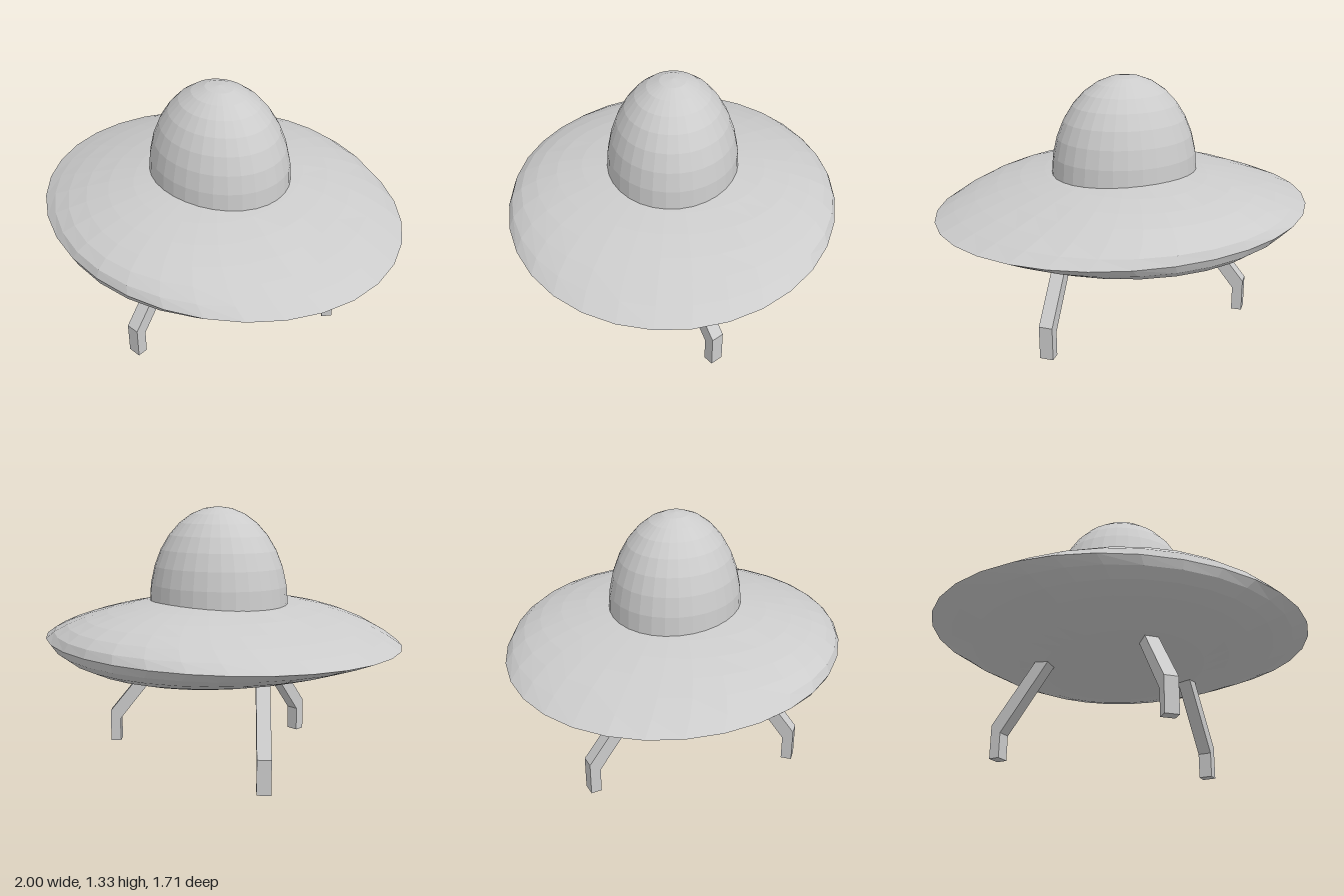
import * as THREE from 'three';

const grey = new THREE.MeshStandardMaterial({ color: 0xcccccc, flatShading: true });
const greyOpen = new THREE.MeshStandardMaterial({ color: 0xcccccc, flatShading: true, side: THREE.DoubleSide });

function addMesh(parent, name, geometry, material = grey) {
  const mesh = new THREE.Mesh(geometry, material);
  mesh.name = name;
  parent.add(mesh);
  return mesh;
}

// Saucer: rounded when cut along z, pointed like a lens when cut along x
function saucerGeometry() {
  const geo = new THREE.SphereGeometry(1, 32, 16);
  const p = geo.attributes.position;
  for (let i = 0; i < p.count; i++) {
    const x = p.getX(i), y = p.getY(i), z = p.getZ(i);
    const ring = Math.hypot(x, z);
    const lens = ring > 1e-6 ? Math.sqrt(Math.max(0, 1 - Math.abs(y))) / ring : 0;
    p.setXYZ(i, x * lens, y * 0.215, z * 0.857);
  }
  geo.computeVertexNormals();
  return geo;
}

// Leg: bent bar, drawn outward along +x from the middle of its foot
function legGeometry() {
  const width = 0.07;
  const shape = new THREE.Shape([
    [-0.028, 0], [0.028, 0], [0.028, 0.175], [-0.283, 0.56], [-0.367, 0.56], [-0.028, 0.13],
  ].map(([x, y]) => new THREE.Vector2(x, y)));
  const geo = new THREE.ExtrudeGeometry(shape, { depth: width, bevelEnabled: false });
  geo.translate(0, 0, -width / 2);
  return geo;
}

export function createModel() {
  const model = new THREE.Group();
  model.name = 'flyingSaucer';

  addMesh(model, 'saucerHull', saucerGeometry()).position.y = 0.65;

  // Dome: upper half of an ellipsoid sunk slightly into the hull
  const domeGeo = new THREE.SphereGeometry(1, 32, 8, 0, Math.PI * 2, 0, Math.PI / 2);
  domeGeo.scale(0.388, 0.5, 0.34);
  addMesh(model, 'dome', domeGeo, greyOpen).position.y = 0.83;

  // Three legs: one in front, two splayed behind
  const legGeo = legGeometry();
  for (const [name, x, z, turn] of [
    ['frontLeg', 0, 0.643, -Math.PI / 2],
    ['backLeftLeg', 0.57, -0.26, Math.PI / 4],
    ['backRightLeg', -0.582, -0.26, Math.PI * 3 / 4],
  ]) {
    const leg = addMesh(model, name, legGeo);
    leg.position.set(x, 0, z);
    leg.rotation.y = turn;
  }
  return model;
}
